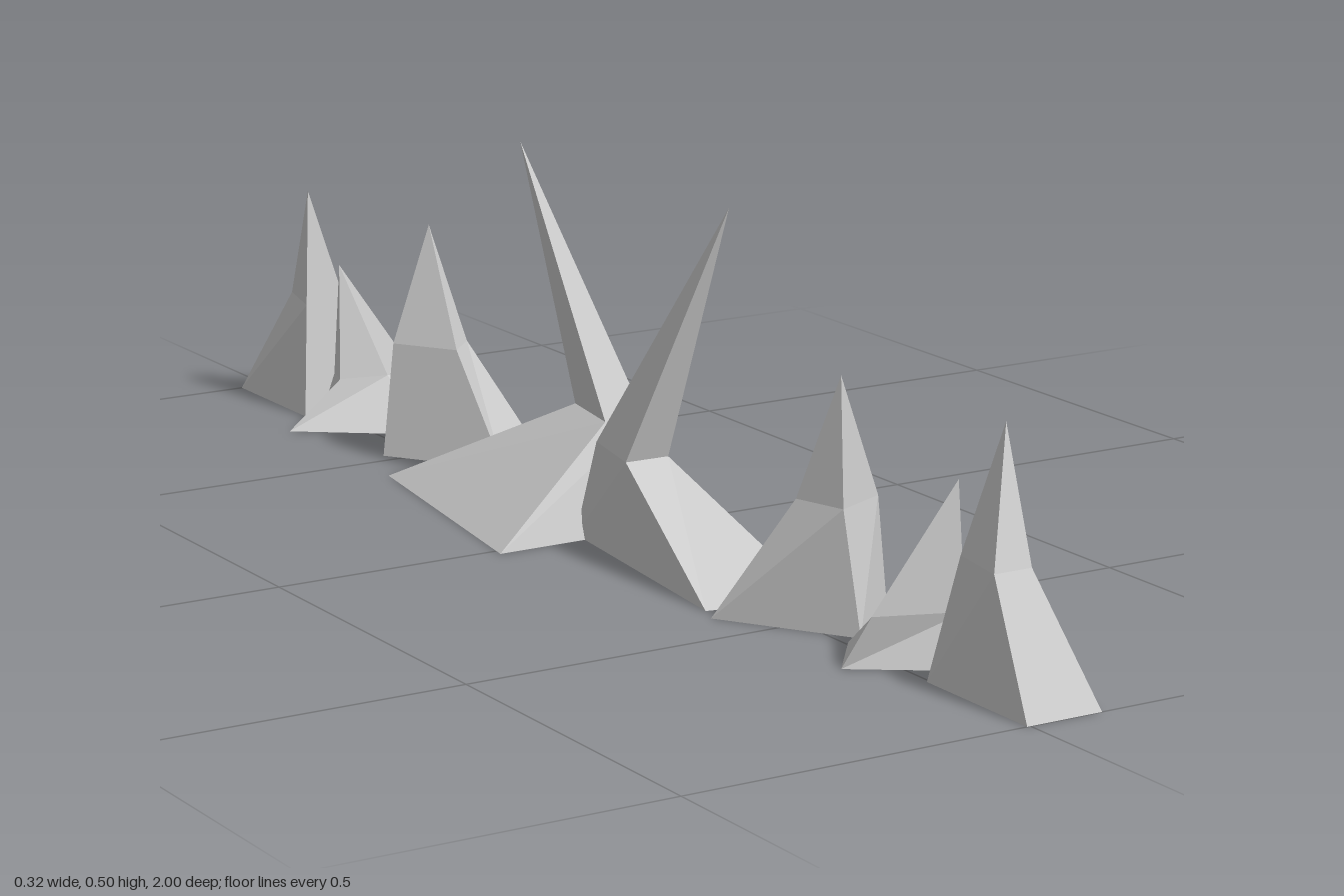
import * as THREE from 'three';

const material = new THREE.MeshStandardMaterial({ color: 0xcccccc, flatShading: true });

// Corners are [x, z], running anticlockwise as seen from above.
const SPIKES = [
  { name: 'endSpike', shoulder: 0.166, tip: [0.072, 0.336, 0.84],
    base: [[-0.005, 1], [0.108, 1], [0.108, 0.79], [-0.005, 0.79]],
    ring: [[0.01, 0.906], [0.067, 0.906], [0.09, 0.815], [0.025, 0.815]] },
  { name: 'smallSpike', shoulder: 0.07, tip: [0.072, 0.24, 0.743], wide: [2],
    base: [[-0.066, 0.69], [0.08, 0.79], [0.085, 0.723], [0.006, 0.6]],
    ring: [[-0.038, 0.715], [0.075, 0.757], [0.085, 0.72], [0.012, 0.705]] },
  { name: 'middleSpike', shoulder: 0.166, tip: [0.033, 0.335, 0.537],
    base: [[-0.087, 0.42], [0.029, 0.595], [0.119, 0.525], [0.008, 0.367]],
    ring: [[-0.003, 0.49], [0.02, 0.565], [0.098, 0.53], [0.04, 0.445]] },
  { name: 'tallSpike', shoulder: 0.145, tip: [0.036, 0.505, 0.267], wide: [1, 2],
    base: [[-0.075, 0.388], [0.082, 0.423], [0.15, -0.015], [-0.03, -0.015]],
    ring: [[-0.054, 0.155], [0.012, 0.157], [0.031, 0.045], [-0.03, 0.04]] },
];
const WIDEN = 0.085;

// Four-sided crag: base, shoulder ring, single sharp tip, closed underneath.
function spike({ name, base, ring, shoulder, tip, wide = [] }, extra) {
  const lower = base.map(([x, z], i) => [x + (wide.includes(i) ? extra : 0), 0, z]);
  const upper = ring.map(([x, z]) => [x, shoulder, z]);
  const points = [];
  for (let i = 0; i < 4; i++) {
    const j = (i + 1) % 4;
    points.push(lower[i], lower[j], upper[j], lower[i], upper[j], upper[i]);
    points.push(upper[i], upper[j], tip);
  }
  points.push(lower[0], lower[2], lower[1], lower[0], lower[3], lower[2]);
  const geometry = new THREE.BufferGeometry();
  geometry.setAttribute('position', new THREE.Float32BufferAttribute(points.flat(), 3));
  geometry.computeVertexNormals();
  const mesh = new THREE.Mesh(geometry, material);
  mesh.name = name;
  return mesh;
}

function spikeRow(name, extra) {
  const row = new THREE.Group();
  row.name = name;
  SPIKES.forEach((s) => row.add(spike(s, extra)));
  return row;
}

export function createModel() {
  const model = new THREE.Group();
  model.name = 'rockSpikes';
  const front = spikeRow('frontSpikes', 0);
  // The back row is the front row turned half round, with broader feet.
  const back = spikeRow('backSpikes', WIDEN);
  back.rotation.y = Math.PI;
  back.position.x = 0.067;
  model.add(front, back);
  return model;
}
